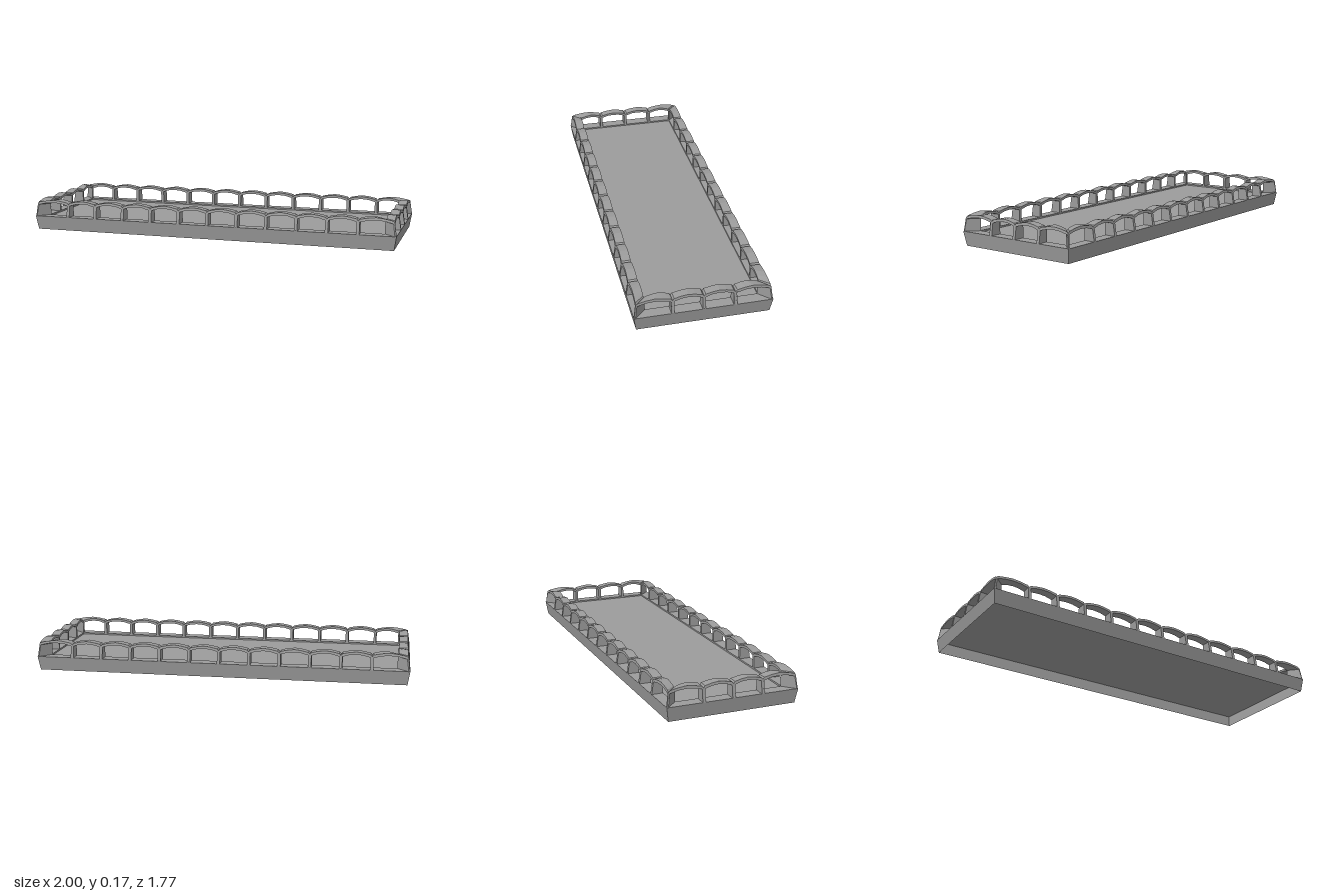
import * as THREE from 'three';

const HALF_L = 0.998, HALF_W = 0.345; // half length and half width at the rim
const RIM = 0.075, FLOOR = 0.067, INSET = 0.06, TOP = 0.165, FLARE = 0.012;

const material = new THREE.MeshStandardMaterial({
  color: 0x9b9b9b, flatShading: true, side: THREE.DoubleSide });

// Flared outer wall, open at top and bottom
function curbGeometry() {
  const ring = (d, y) => [[1, 1], [1, -1], [-1, -1], [-1, 1]]
    .map(([sx, sz]) => [sx * (HALF_L - d), y, sz * (HALF_W - d)]);
  const low = ring(FLARE, 0), high = ring(0, RIM);
  const pos = [];
  for (let k = 0; k < 4; k++) {
    const n = (k + 1) % 4;
    pos.push(...low[k], ...low[n], ...high[n], ...low[k], ...high[n], ...high[k]);
  }
  const geo = new THREE.BufferGeometry();
  geo.setAttribute('position', new THREE.Float32BufferAttribute(pos, 3));
  geo.computeVertexNormals();
  return geo;
}

// One arched bay with its sill, leaning inward; end bays are mitred into the corner
function archBay(x0, x1, halfDepth, first, last) {
  const width = x1 - x0, post = 0.008;
  const points = (list, a, b) => list.map(([u, y]) => new THREE.Vector2(a + u * (b - a), y));
  const shape = new THREE.Shape(points([
    [0, FLOOR], [1, FLOOR], [1, 0.144], [0.95, 0.153], [0.72, 0.161], [0.5, TOP],
    [0.28, 0.161], [0.05, 0.153], [0, 0.144],
  ], x0, x1));
  shape.holes.push(new THREE.Path(points([
    [0, RIM], [0, 0.138], [0.25, 0.148], [0.5, 0.151], [0.75, 0.148], [1, 0.138], [1, RIM],
  ], x0 + post, x1 - post)));
  const geo = new THREE.ExtrudeGeometry(shape, { depth: 1, bevelEnabled: false });
  const p = geo.attributes.position;
  for (let i = 0; i < p.count; i++) {
    const y = p.getY(i);
    const lean = y < RIM ? FLARE * (RIM - y) / RIM : 0.014 * (y - RIM) / (TOP - RIM);
    const d = THREE.MathUtils.lerp(INSET, lean, p.getZ(i));
    let x = p.getX(i);
    if (first) x = x1 - (x1 - x) * (width - d) / width;
    if (last) x = x0 + (x - x0) * (width - d) / width;
    p.setXYZ(i, x, y, halfDepth - d);
  }
  geo.computeVertexNormals();
  return geo;
}

// A row of arches along one side; the end bays are a little wider
function arcade(name, halfLen, halfDepth, count, turn) {
  const side = new THREE.Group();
  side.name = name;
  const pitch = (2 * halfLen - 0.07) / count;
  const edge = (i) => (i === 0 ? -halfLen : i === count ? halfLen : (i - count / 2) * pitch);
  for (let i = 0; i < count; i++) {
    const bay = new THREE.Mesh(
      archBay(edge(i), edge(i + 1), halfDepth, i === 0, i === count - 1), material);
    bay.name = 'archBay';
    side.add(bay);
  }
  side.rotation.y = turn;
  return side;
}

export function createModel() {
  const model = new THREE.Group();
  model.name = 'arcadedTray';
  const tray = new THREE.Group();
  tray.name = 'tray';
  tray.rotation.y = 0.659; // stands diagonally
  model.add(tray);

  const curb = new THREE.Mesh(curbGeometry(), material);
  curb.name = 'curb';

  // Floor panel between the sills
  const floor = new THREE.Mesh(
    new THREE.PlaneGeometry(2 * (HALF_L - INSET), 2 * (HALF_W - INSET)).rotateX(-Math.PI / 2), material);
  floor.name = 'floor';
  floor.position.y = FLOOR;
  tray.add(curb, floor);

  // Arcades: twelve bays on the long sides, four on the ends
  tray.add(
    arcade('frontArcade', HALF_L, HALF_W, 12, 0),
    arcade('backArcade', HALF_L, HALF_W, 12, Math.PI),
    arcade('leftArcade', HALF_W, HALF_L, 4, Math.PI / 2),
    arcade('rightArcade', HALF_W, HALF_L, 4, -Math.PI / 2));
  return model;
}
